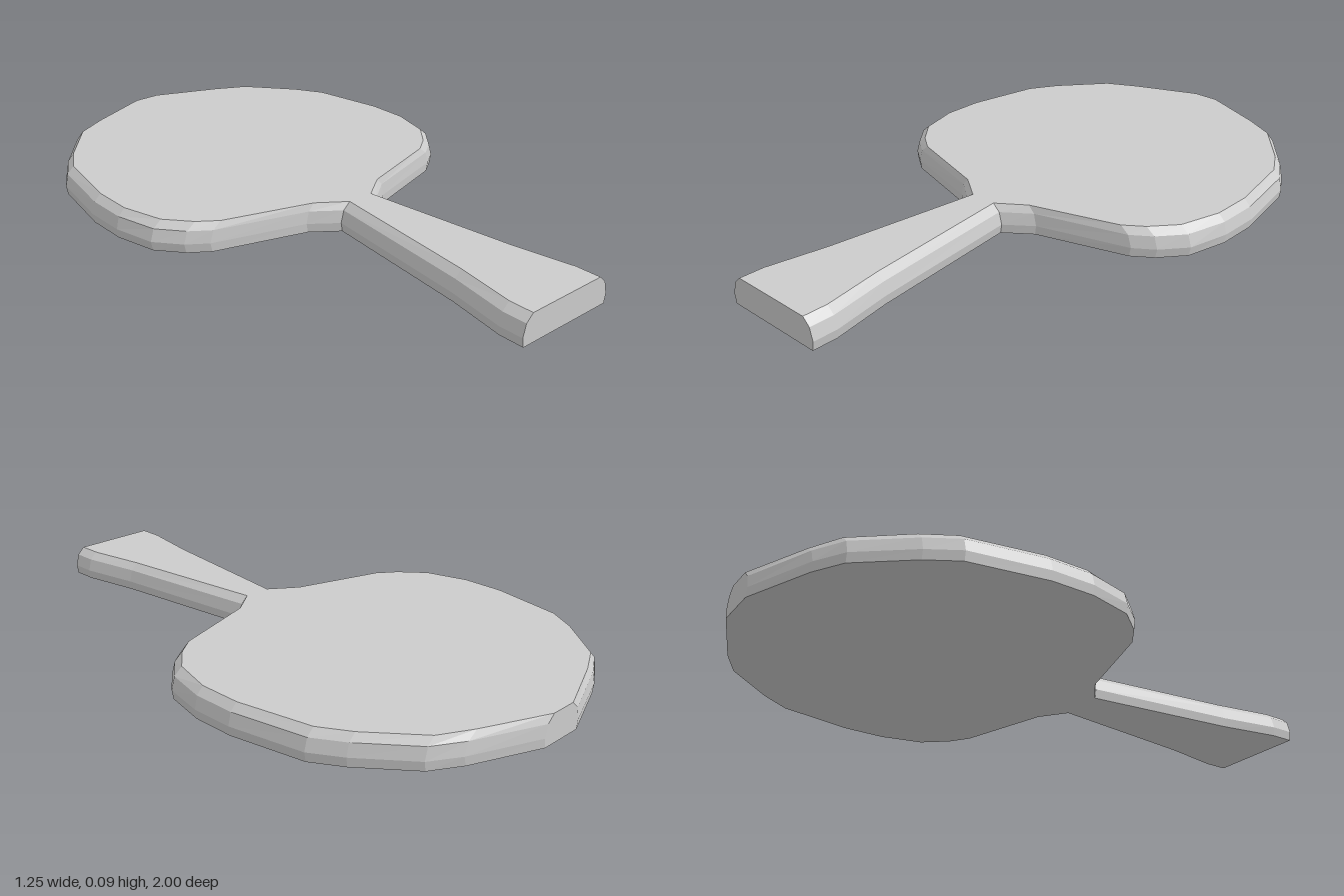
import * as THREE from 'three';

// Edge profile: [height, share of the bevel width that is kept]
const EDGE = [[0, 0.85], [0.03, 1], [0.07, 0.7], [0.093, 0]];

// Stations along the length: [z, widest half width, half width of the top face]
const BLADE = [
  [-1, 0.08, 0.045], [-0.91, 0.307, 0.26], [-0.855, 0.4, 0.365], [-0.7, 0.525, 0.493],
  [-0.605, 0.582, 0.548], [-0.36, 0.626, 0.594], [-0.22, 0.626, 0.594], [-0.08, 0.595, 0.555],
  [0, 0.53, 0.487], [0.045, 0.466, 0.425], [0.135, 0.165, 0.135], [0.2, 0.08, 0.045],
];
const HANDLE = [[0.2, 0.08, 0.045], [0.72, 0.14, 0.107], [0.92, 0.177, 0.142], [1, 0.177, 0.142]];

// Closed, mirrored cross-section, counter-clockwise seen from +z
function section([z, outer, top]) {
  const right = EDGE.map(([y, f]) => [top + (outer - top) * f, y, z]);
  const left = right.map(([x, y]) => [-x, y, z]).reverse();
  return [...right, ...left];
}

// Skin the sections and cap the requested ends
function loft(name, stations, capBack, capFront) {
  const rings = stations.map(section);
  const n = rings[0].length;
  const index = [];
  for (let i = 0; i < rings.length - 1; i++) {
    for (let j = 0; j < n; j++) {
      const a = i * n + j, b = i * n + (j + 1) % n;
      index.push(a, b, a + n, b, b + n, a + n);
    }
  }
  const last = (rings.length - 1) * n;
  for (let j = 1; j < n - 1; j++) {
    if (capBack) index.push(0, j + 1, j);
    if (capFront) index.push(last, last + j, last + j + 1);
  }
  const indexed = new THREE.BufferGeometry();
  indexed.setAttribute('position', new THREE.Float32BufferAttribute(rings.flat(2), 3));
  indexed.setIndex(index);
  const geometry = indexed.toNonIndexed();
  geometry.computeVertexNormals();
  const mesh = new THREE.Mesh(
    geometry,
    new THREE.MeshStandardMaterial({ color: 0xcccccc, flatShading: true })
  );
  mesh.name = name;
  return mesh;
}

export function createModel() {
  const paddle = new THREE.Group();
  paddle.name = 'paddle';
  paddle.add(loft('blade', BLADE, true, false));
  paddle.add(loft('handle', HANDLE, false, true));
  return paddle;
}
